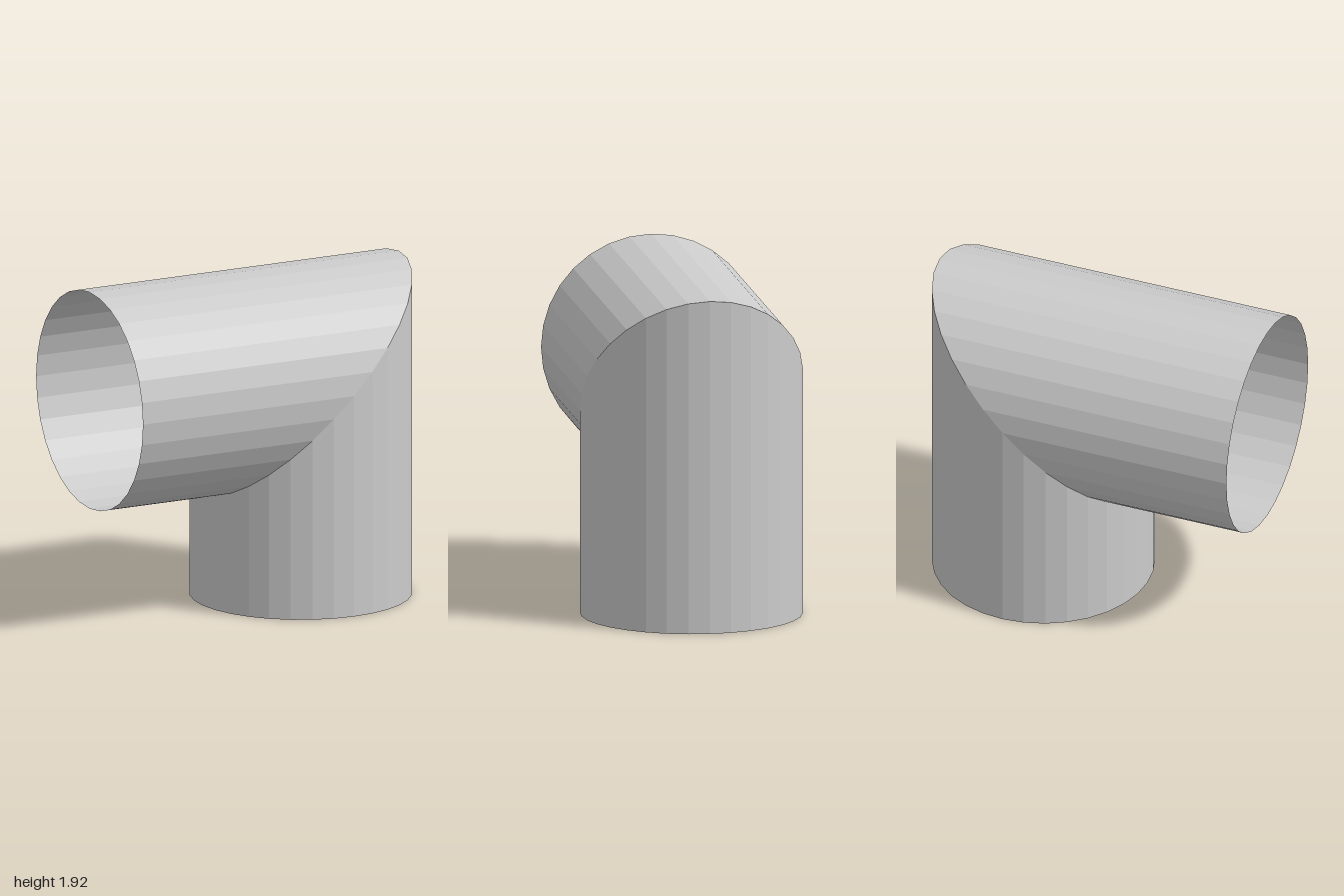
import * as THREE from 'three';

const R = 0.634;          // pipe radius
const SIDES = 32;
const AXIS_X = 0.366;     // axis of the upright pipe
const AXIS_Y = 1.291;     // axis of the level pipe
const MITRE = AXIS_Y - AXIS_X; // the joint lies on the plane y = x + MITRE

const material = new THREE.MeshStandardMaterial({
  color: 0xcccccc, flatShading: true, side: THREE.DoubleSide,
});

function addMesh(group, name, geometry) {
  const mesh = new THREE.Mesh(geometry, material);
  mesh.name = name;
  group.add(mesh);
}

// Open tube whose vertices are moved by a rule
function pipe(place) {
  const geometry = new THREE.CylinderGeometry(R, R, 1, SIDES, 1, true);
  const pos = geometry.attributes.position;
  for (let i = 0; i < pos.count; i++) {
    pos.setXYZ(i, ...place(pos.getX(i), pos.getY(i) > 0, pos.getZ(i)));
  }
  geometry.computeVertexNormals();
  return geometry;
}

export function createModel() {
  const group = new THREE.Group();
  group.name = 'mitredPipeElbow';

  // Upright pipe: flat at the floor, cut at 45 degrees on top
  addMesh(group, 'uprightPipe', pipe((x, top, z) =>
    [AXIS_X + x, top ? AXIS_X + x + MITRE : 0, z]));

  // Level pipe: open at the far end, cut to meet the upright pipe
  addMesh(group, 'levelPipe', pipe((x, top, z) =>
    [top ? -1 : AXIS_Y + x - MITRE, AXIS_Y + x, z]));

  // Closed bottom of the upright pipe
  const cap = new THREE.CircleGeometry(R, SIDES);
  cap.rotateX(Math.PI / 2).translate(AXIS_X, 0, 0);
  addMesh(group, 'bottomCap', cap);

  return group;
}
